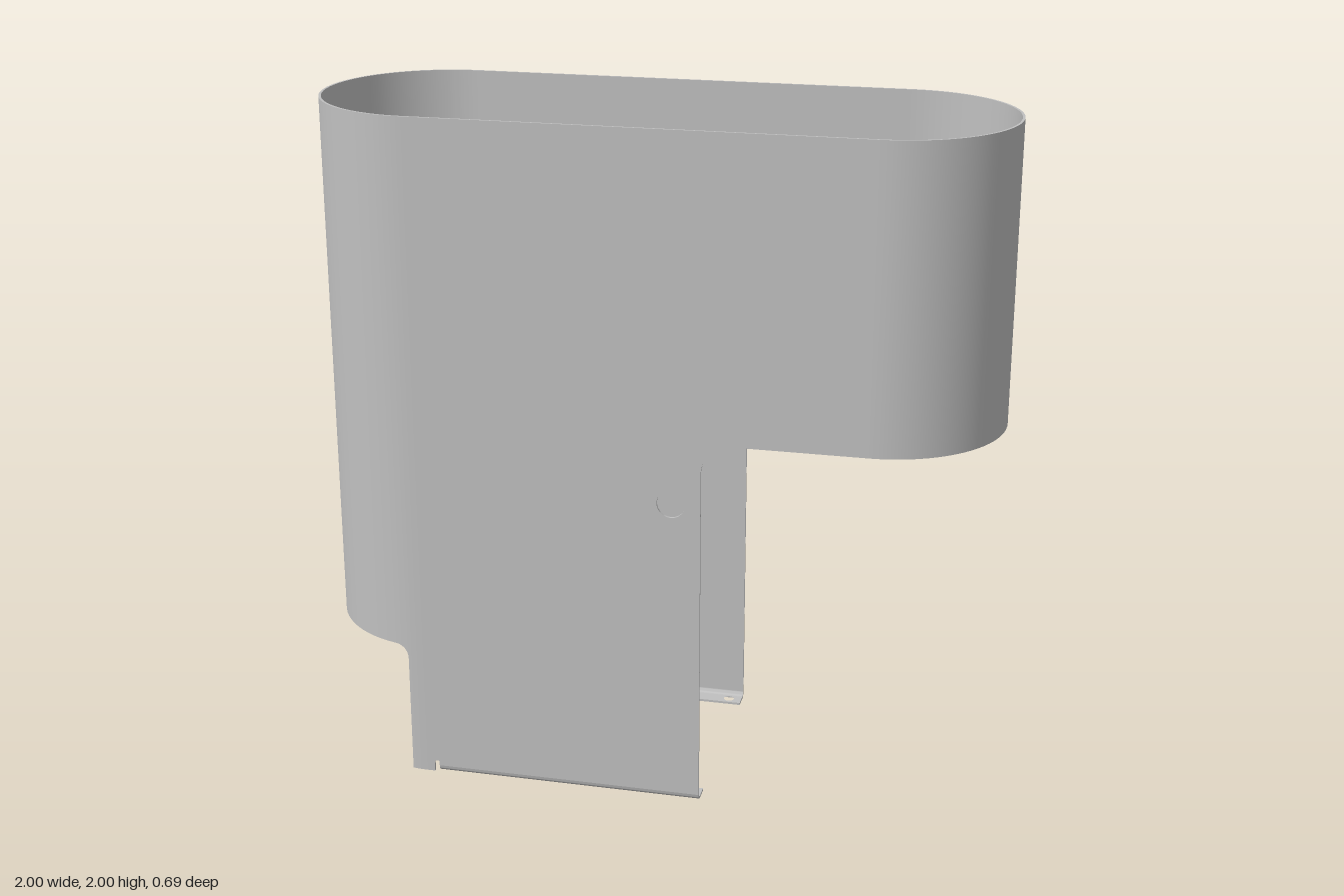
import * as THREE from 'three';
import { toCreasedNormals } from 'three/addons/utils/BufferGeometryUtils.js';

const R = 0.347;        // outer radius of the rounded ends
const T = 0.007;        // sheet thickness
const CX = 1 - R;       // where the flat sides meet the rounded ends
const TOP = 2;
const BEND = 0.02;      // outer bend radius of the foot flanges
const FOOT = [-0.615, 0.185];

const sheetMetal = new THREE.MeshStandardMaterial({ color: 0xc0c0c0 });
sheetMetal.name = 'sheet metal grey';

function part(name, geometry) {
  const mesh = new THREE.Mesh(toCreasedNormals(geometry, 0.6), sheetMetal);
  mesh.name = name;
  return mesh;
}

function circle(x, y, r) {
  return new THREE.Path().absarc(x, y, r, 0, Math.PI * 2, true);
}

const extrude = (shape, depth) =>
  new THREE.ExtrudeGeometry(shape, { depth, bevelEnabled: false, curveSegments: 16 });

// Flat side with the stepped outline, relief notch and round hole
function sidePanel() {
  const s = new THREE.Shape();
  s.moveTo(-CX, 0);
  s.lineTo(-0.63, 0);
  s.lineTo(-0.63, 0.035);
  s.lineTo(FOOT[0], 0.035);
  s.lineTo(FOOT[0], BEND);
  s.lineTo(FOOT[1], BEND);
  s.lineTo(FOOT[1], 1.03);
  s.absarc(FOOT[1] + 0.09, 1.03, 0.09, Math.PI, Math.PI / 2, true);
  s.lineTo(CX, 1.12);
  s.lineTo(CX, TOP);
  s.lineTo(-CX, TOP);
  s.holes.push(circle(0.1, 0.935, 0.041));
  return extrude(s, T);
}

// Inward foot plate with four screw holes, lying on the ground
function footPlate(side) {
  const outer = side * (R - BEND), inner = side * 0.282;
  const s = new THREE.Shape();
  s.moveTo(FOOT[0], -outer);
  s.lineTo(FOOT[1], -outer);
  s.lineTo(FOOT[1], -inner);
  s.lineTo(FOOT[0], -inner);
  for (const [x, r] of [[-0.575, 0.016], [-0.39, 0.011], [-0.07, 0.011], [0.145, 0.016]]) {
    s.holes.push(circle(x, -side * 0.306, r));
  }
  return extrude(s, T).rotateX(-Math.PI / 2);
}

// Quarter-round bend between side panel and foot plate
function footBend(side) {
  const pts = [];
  const n = 8;
  const add = (r, i) => {
    const a = (i / n) * Math.PI / 2;
    pts.push(new THREE.Vector2(-side * (R - BEND + r * Math.cos(a)), BEND - r * Math.sin(a)));
  };
  for (let i = 0; i <= n; i++) add(BEND, i);
  for (let i = n; i >= 0; i--) add(BEND - T, i);
  return extrude(new THREE.Shape(pts), FOOT[1] - FOOT[0])
    .rotateY(Math.PI / 2).translate(FOOT[0], 0, 0);
}

// Half-round wall swept through columns [angle, bottom height]
function roundedEnd(columns) {
  const pos = [];
  const quad = (a, b, c, d) => pos.push(...a, ...b, ...c, ...a, ...c, ...d);
  const at = (r, t, y) => [-CX - r * Math.sin(t), y, r * Math.cos(t)];
  for (let i = 0; i < columns.length - 1; i++) {
    const [ta, ya] = columns[i], [tb, yb] = columns[i + 1];
    const r = R - T;
    quad(at(R, ta, ya), at(R, tb, yb), at(r, tb, yb), at(r, ta, ya));
    if (ta === tb) continue; // vertical step: edge face only
    quad(at(R, tb, yb), at(R, ta, ya), at(R, ta, TOP), at(R, tb, TOP));
    quad(at(r, ta, ya), at(r, tb, yb), at(r, tb, TOP), at(r, ta, TOP));
    quad(at(R, tb, TOP), at(R, ta, TOP), at(r, ta, TOP), at(r, tb, TOP));
  }
  const g = new THREE.BufferGeometry();
  g.setAttribute('position', new THREE.Float32BufferAttribute(pos, 3));
  return g;
}

// Long end: a narrow tongue to the ground, a small fillet, then the raised edge
function longEndColumns() {
  const half = [];
  const t0 = Math.asin((0.7 - CX) / R), f = 0.04;
  for (let i = 0; i <= 3; i++) half.push([t0 * i / 3, 0]);
  for (let i = 0; i <= 6; i++) {
    const a = (i / 6) * Math.PI / 2;
    const x = 0.7 + f * (1 - Math.cos(a));
    half.push([i === 0 ? t0 : Math.asin((x - CX) / R), 0.37 + f * Math.sin(a)]);
  }
  const t1 = half[half.length - 1][0];
  for (let i = 1; i <= 16; i++) half.push([t1 + (Math.PI / 2 - t1) * i / 16, 0.41]);
  const mirrored = half.slice(0, -1).reverse().map(([t, y]) => [Math.PI - t, y]);
  return [...half, ...mirrored];
}

export function createModel() {
  const model = new THREE.Group();
  model.name = 'ovalSheetMetalCover';

  model.add(part('longRoundedEnd', roundedEnd(longEndColumns())));
  const shortColumns = Array.from({ length: 41 }, (_, i) => [Math.PI * i / 40, 1.12]);
  model.add(part('shortRoundedEnd', roundedEnd(shortColumns).rotateY(Math.PI)));

  for (const side of [1, -1]) {
    const group = new THREE.Group();
    group.name = side > 0 ? 'frontSide' : 'backSide';
    group.add(
      part('sidePanel', sidePanel().translate(0, 0, side > 0 ? R - T : -R)),
      part('footBend', footBend(side)),
      part('footPlate', footPlate(side)),
    );
    model.add(group);
  }
  return model;
}
